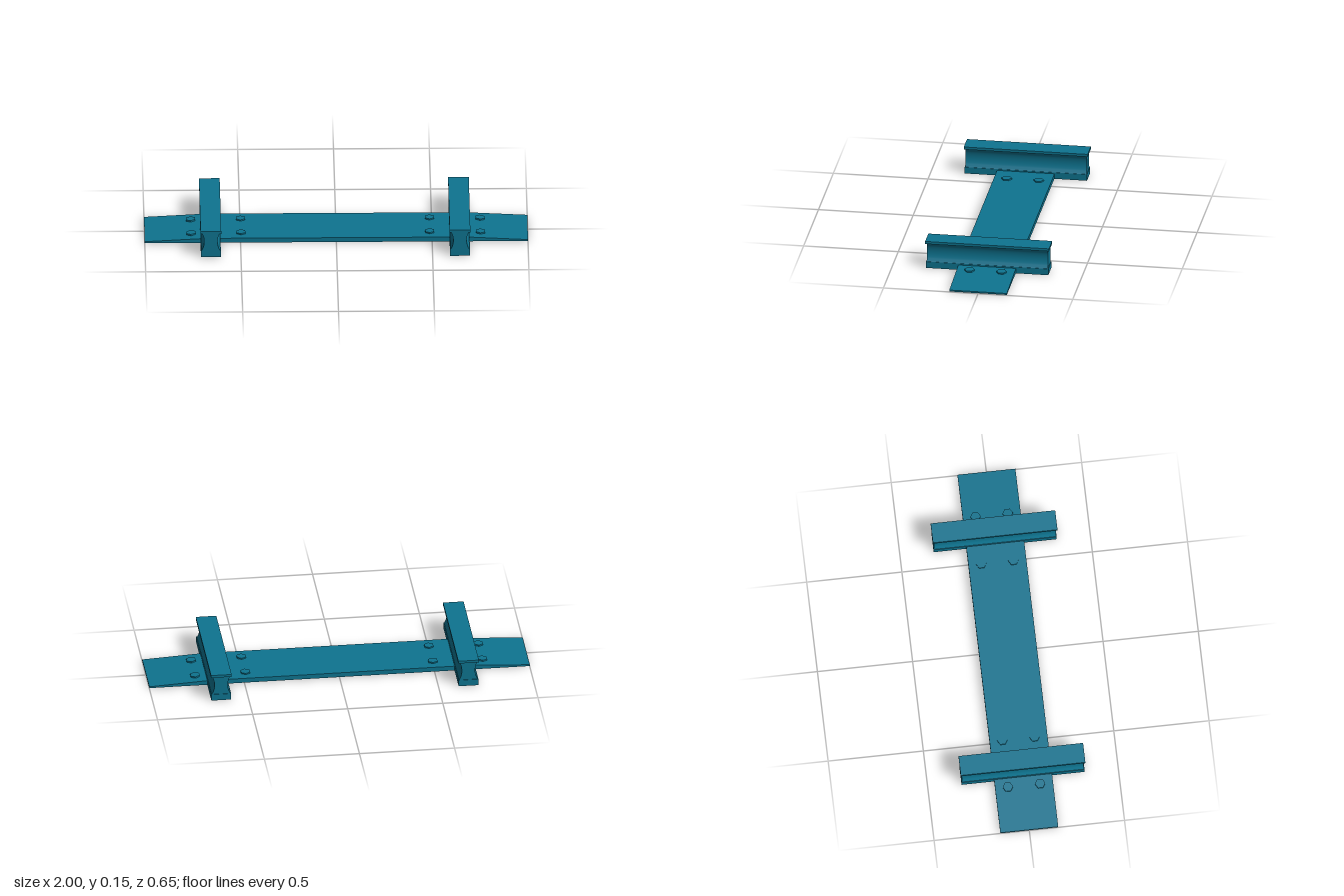
import * as THREE from 'three';
import { toCreasedNormals } from 'three/addons/utils/BufferGeometryUtils.js';

const material = new THREE.MeshStandardMaterial({ color: 0x0e7490 });

function addMesh(parent, name, geometry, x = 0, y = 0, z = 0) {
  const mesh = new THREE.Mesh(geometry, material);
  mesh.name = name;
  mesh.position.set(x, y, z);
  parent.add(mesh);
  return mesh;
}

// Extrudes an x-y outline along z, centred on z = 0
function extrudeZ(shape, depth) {
  const geometry = new THREE.ExtrudeGeometry(shape, { depth, bevelEnabled: false, curveSegments: 12 });
  geometry.translate(0, 0, -depth / 2);
  return toCreasedNormals(geometry, 0.6);
}

// Rail: flat base, waisted web and thin wide head
function createRail(name, x) {
  const rail = new THREE.Group();
  rail.name = name;
  rail.position.x = x;
  addMesh(rail, 'railBase', new THREE.BoxGeometry(0.104, 0.035, 0.646), 0, 0.0175);

  const web = new THREE.Shape();
  web.moveTo(-0.05, 0.034);
  web.lineTo(0.05, 0.034);
  web.bezierCurveTo(0.03, 0.062, 0.03, 0.11, 0.048, 0.137);
  web.lineTo(-0.048, 0.137);
  web.bezierCurveTo(-0.03, 0.11, -0.03, 0.062, -0.05, 0.034);
  addMesh(rail, 'railWeb', extrudeZ(web, 0.64));

  addMesh(rail, 'railHead', new THREE.BoxGeometry(0.108, 0.014, 0.654), 0, 0.143);
  return rail;
}

export function createModel() {
  const model = new THREE.Group();
  model.name = 'railTie';

  // Tie plate, thinning towards both ends beyond the rails
  const tie = new THREE.Shape([
    [-1, 0.003], [1, 0.003], [1, 0.011], [0.68, 0.028], [-0.68, 0.028], [-1, 0.011],
  ].map(([x, y]) => new THREE.Vector2(x, y)));
  const tieGeometry = new THREE.ExtrudeGeometry(tie, { depth: 0.304, bevelEnabled: false });
  tieGeometry.translate(0, 0, -0.152);
  addMesh(model, 'tiePlate', tieGeometry);

  model.add(createRail('rightRail', -0.657), createRail('leftRail', 0.643));

  // Hexagonal bolts on both sides of each rail; outer ones follow the slope
  const boltGeometry = new THREE.CylinderGeometry(0.027, 0.027, 0.012, 6).toNonIndexed();
  boltGeometry.computeVertexNormals();
  const slope = Math.atan2(0.017, 0.32);
  for (const [x, y, tilt] of [
    [-0.758, 0.026, slope], [-0.498, 0.029, 0], [0.488, 0.029, 0], [0.752, 0.026, -slope],
  ]) {
    for (const z of [-0.085, 0.084]) {
      addMesh(model, 'bolt', boltGeometry, x, y, z).rotation.z = tilt;
    }
  }
  return model;
}
